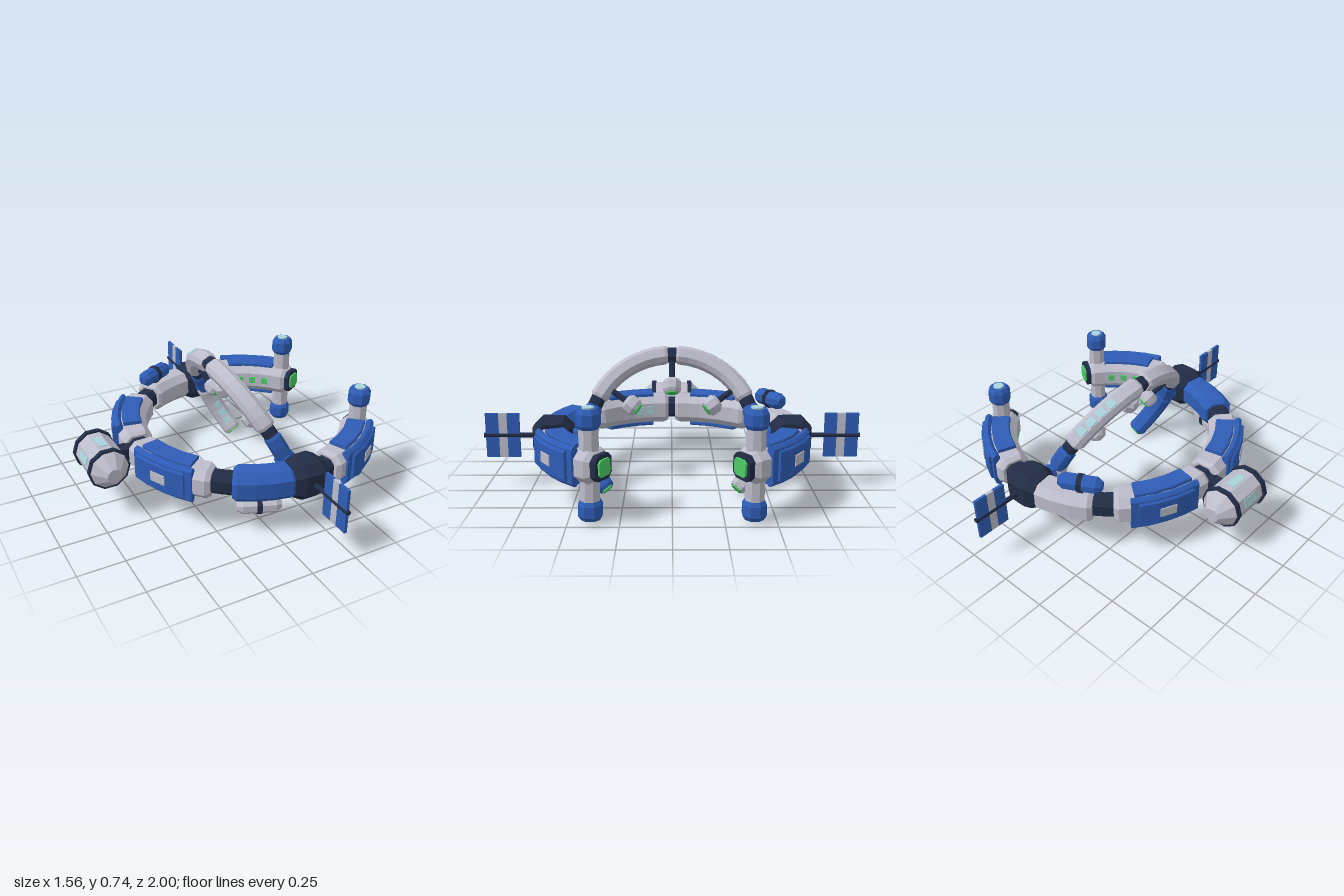
import * as THREE from 'three';

const mat = (name, color) => {
  const m = new THREE.MeshStandardMaterial({ color });
  m.name = name;
  return m;
};
const D = Math.PI / 180;

// Faceted mesh: every face keeps its own normal
function part(parent, name, geometry, material) {
  const g = geometry.index ? geometry.toNonIndexed() : geometry;
  g.computeVertexNormals();
  const mesh = new THREE.Mesh(g, material);
  mesh.name = name;
  parent.add(mesh);
  return mesh;
}

// Curved bar in the XY plane with a bevelled section, swept from a0 to a1 degrees.
// hw = radial half width, hh = half height along Z, z = height offset, end = end scale
function arc(R, a0, a1, hw, hh, bevel, { z = 0, end = 1, taper = 2 } = {}) {
  const b = bevel;
  const section = [
    [hw, -hh + b], [hw, hh - b], [hw - b, hh], [-hw + b, hh],
    [-hw, hh - b], [-hw, -hh + b], [-hw + b, -hh], [hw - b, -hh],
  ];
  const stations = [];
  const t = end < 1 ? taper : 0;
  if (t) stations.push([a0, end]);
  const n = Math.max(1, Math.round((a1 - a0) / 8));
  for (let i = 0; i <= n; i++) stations.push([a0 + t + (a1 - a0 - 2 * t) * i / n, 1]);
  if (t) stations.push([a1, end]);
  const pos = [], idx = [];
  for (const [a, s] of stations) for (const [dr, h] of section) {
    const r = R + dr * s;
    pos.push(Math.cos(a * D) * r, Math.sin(a * D) * r, z + h * s);
  }
  for (let i = 0; i < stations.length - 1; i++) for (let j = 0; j < 8; j++) {
    const p = i * 8 + j, q = i * 8 + (j + 1) % 8;
    idx.push(p, p + 8, q, q, p + 8, q + 8);
  }
  const last = (stations.length - 1) * 8;
  for (let j = 1; j < 7; j++) idx.push(0, j, j + 1, last, last + j + 1, last + j);
  const g = new THREE.BufferGeometry();
  g.setAttribute('position', new THREE.Float32BufferAttribute(pos, 3));
  g.setIndex(idx);
  return g;
}

// Faceted turned shape from [radius, y] pairs, bottom to top, with flats facing the axes
const turned = (points, sides = 8) =>
  new THREE.LatheGeometry(points.map(p => new THREE.Vector2(...p)), sides, Math.PI / sides);

export function createModel() {
  const model = new THREE.Group();
  model.name = 'ringStation';
  const hull = mat('pale hull', 0xbcbccb);
  const blue = mat('blue armour', 0x2e5cb5);
  const dark = mat('dark joint', 0x222c45);
  const green = mat('green light', 0x4ccc66);
  const glass = mat('pale window', 0xa9d3da);

  // Main ring, lying flat; positive angles run towards the back
  const ring = new THREE.Group();
  ring.name = 'mainRing';
  ring.position.set(0.18, 0.3, 0);
  ring.rotation.x = -Math.PI / 2;
  model.add(ring);

  for (const s of [1, -1]) {
    const bar = (name, m, R, a, b, ...rest) =>
      part(ring, name, arc(R, s > 0 ? a : -b, s > 0 ? b : -a, ...rest), m);
    const taper = { end: 0.82 };
    bar('tipSegment', hull, 0.63, 33, 77, 0.085, 0.08, 0.038, taper);
    bar('sideSegment', s > 0 ? hull : blue, 0.63, 97, 124, 0.085, 0.08, 0.038, taper);
    bar('rearSegment', hull, 0.63, 133, 178, 0.085, 0.08, 0.038, taper);
    bar('hub', dark, 0.63, 82, 98, 0.105, 0.1, 0.045, { end: 0.8, taper: 4 });
    bar('tipJoint', dark, 0.63, 75, 84, 0.055, 0.055, 0.025);
    bar('sideJoint', dark, 0.63, 122, 135, 0.055, 0.055, 0.025);
    bar('rearJoint', dark, 0.63, 176, 180, 0.055, 0.055, 0.025);

    // Armour on the outer wall, top and underside
    for (const [a, b, c, d] of [[40, 72, 42, 69], [140, 170, 142, 169]]) {
      bar('outerArmour', blue, 0.705, a, b, 0.02, 0.098, 0.015);
      bar('raisedPlate', blue, 0.728, a + 3, b - 3, 0.01, 0.075, 0.008);
      const mid = (a + b) / 2;
      bar('armourWindow', hull, 0.738, mid - 3.5, mid + 3.5, 0.004, 0.028, 0.002);
      for (const z of [0.087, -0.087])
        bar('armourStrip', blue, 0.63, c, d, 0.05, 0.013, 0.006, { z });
    }

    // Lit end of the ring
    bar('endCap', dark, 0.63, 30.5, 34, 0.066, 0.062, 0.025);
    bar('endLight', green, 0.63, 29.6, 30.6, 0.045, 0.042, 0.015);
    for (const a of [46, 54, 62])
      bar('greenWindow', green, 0.545, a - 2, a + 2, 0.004, 0.02, 0.002);
    if (s < 0) for (const a of [154, 160, 166])
      bar('rearWindow', glass, 0.545, a - 2.3, a + 2.3, 0.004, 0.025, 0.002);

    // Docking tower through the ring tip
    const tower = new THREE.Group();
    tower.name = 'tower';
    tower.position.set(0.68, 0.3, -0.39 * s);
    model.add(tower);
    part(tower, 'column', turned([[0, -0.22], [0.049, -0.22], [0.049, 0.22], [0, 0.22]]), hull);
    for (const e of [1, -1]) {
      const cap = new THREE.Group();
      cap.rotation.x = e > 0 ? 0 : Math.PI;
      tower.add(cap);
      part(cap, 'towerEnd', turned([[0, 0.175], [0.05, 0.175], [0.062, 0.195], [0.062, 0.25], [0.048, 0.272], [0, 0.272]]), blue);
      part(cap, 'towerWindow', turned([[0.03, 0.272], [0.03, 0.279], [0, 0.279]]), glass);
    }

    // Solar wing on its rod
    const wing = new THREE.Group();
    wing.name = 'solarWing';
    wing.position.set(0.18, 0.3, 0);
    model.add(wing);
    const slab = (name, w, h, l, z, m) =>
      part(wing, name, new THREE.BoxGeometry(w, h, l), m).position.z = -s * z;
    slab('innerPanel', 0.016, 0.24, 0.065, 0.8425, blue);
    slab('panelStripe', 0.016, 0.24, 0.045, 0.8975, hull);
    slab('outerPanel', 0.016, 0.24, 0.07, 0.955, blue);
    const rod = part(wing, 'rod', new THREE.CylinderGeometry(0.013, 0.013, 0.3, 8), dark);
    rod.rotation.x = Math.PI / 2;
    rod.position.z = -s * 0.85;
    const pivot = part(wing, 'archPivot', new THREE.CylinderGeometry(0.04, 0.04, 0.13, 8), blue);
    pivot.rotation.x = Math.PI / 2;
    pivot.position.z = -s * 0.49;
  }

  // Capsules clamped above and below the side segments
  for (const [a, z, m] of [[118, 0.13, blue], [-112, -0.13, hull]]) {
    const capsule = new THREE.Group();
    capsule.name = 'capsule';
    capsule.position.set(Math.cos(a * D) * 0.63, Math.sin(a * D) * 0.63, z);
    capsule.rotation.z = a * D;
    ring.add(capsule);
    part(capsule, 'capsuleBody', turned([[0, -0.115], [0.025, -0.115], [0.046, -0.085], [0.046, 0.085], [0.025, 0.115], [0, 0.115]]), m);
    part(capsule, 'capsuleBand', turned([[0, -0.013], [0.051, -0.013], [0.051, 0.013], [0, 0.013]]), dark);
    part(capsule, 'capsuleClamp', new THREE.BoxGeometry(0.04, 0.035, 0.06), dark).position.z = -Math.sign(z) * 0.04;
  }

  // Tilted inner arch; angle 0 is its highest point
  const arch = new THREE.Group();
  arch.name = 'innerArch';
  arch.position.set(0.18, 0.3, 0);
  arch.rotation.set(-Math.PI / 2, 0, 117 * D, 'ZYX');
  model.add(arch);
  const R = 0.445;
  part(arch, 'crownJoint', arc(R, -4, 4, 0.036, 0.036, 0.015), dark);
  for (const s of [1, -1]) {
    const bar = (name, m, r, a, b, ...rest) =>
      part(arch, name, arc(r, s > 0 ? a : -b, s > 0 ? b : -a, ...rest), m);
    bar('upperArch', hull, R, 3, 63, 0.045, 0.05, 0.022, { end: 0.85 });
    bar('archJoint', dark, R, 62, 70, 0.036, 0.036, 0.015);
    bar('archElbow', blue, R, 69, 88, 0.042, 0.042, 0.018, { end: 0.85 });
    bar('lowerArch', s > 0 ? hull : blue, R, 86, 130, 0.045, 0.05, 0.022, { end: 0.85 });
    bar('archLight', green, R, 129.8, 131, 0.03, 0.034, 0.012);
    if (s > 0) {
      for (const a of [27, 35, 43, 51])
        bar('upperWindow', glass, R + 0.045, a - 2.8, a + 2.8, 0.004, 0.023, 0.002);
      for (const a of [104, 112, 120])
        bar('lowerWindow', glass, R - 0.045, a - 2.8, a + 2.8, 0.004, 0.023, 0.002);
    }
  }

  // Lamps hanging inward from the arch
  for (const a of [-53, 0, 53]) {
    const lamp = new THREE.Group();
    lamp.name = 'lamp';
    lamp.position.set(Math.cos(a * D) * 0.27, Math.sin(a * D) * 0.27, 0);
    lamp.rotation.z = (a + 90) * D;
    arch.add(lamp);
    part(lamp, 'lampStrut', new THREE.CylinderGeometry(0.016, 0.016, 0.14, 8), dark).position.y = -0.09;
    part(lamp, 'lampBody', turned([[0, -0.04], [0.036, -0.04], [0.052, -0.022], [0.052, 0.02], [0.042, 0.036], [0, 0.036]]), hull);
    part(lamp, 'lampLight', turned([[0.034, 0.036], [0.034, 0.043], [0, 0.043]]), green);
  }

  // Tank at the right end of the ring
  const tank = new THREE.Group();
  tank.name = 'tank';
  tank.position.set(-0.67, 0.3, 0);
  tank.rotation.x = Math.PI / 2;
  model.add(tank);
  part(tank, 'tankBody', turned([[0, -0.2], [0.04, -0.2], [0.104, -0.125], [0.104, 0.125], [0.04, 0.2], [0, 0.2]], 10), hull);
  for (const y of [-0.112, 0.112])
    part(tank, 'tankBand', turned([[0, y - 0.013], [0.114, y - 0.013], [0.114, y + 0.013], [0, y + 0.013]], 10), dark);
  for (let i = 0; i < 10; i += 2) {
    const a = i * 36 * D + Math.PI;
    const pane = part(tank, 'tankWindow', new THREE.BoxGeometry(0.045, 0.1, 0.008), glass);
    pane.position.set(Math.sin(a) * 0.098, 0, Math.cos(a) * 0.098);
    pane.rotation.y = a;
  }
  part(model, 'tankMount', new THREE.BoxGeometry(0.14, 0.07, 0.07), dark).position.set(-0.53, 0.3, 0);

  return model;
}
